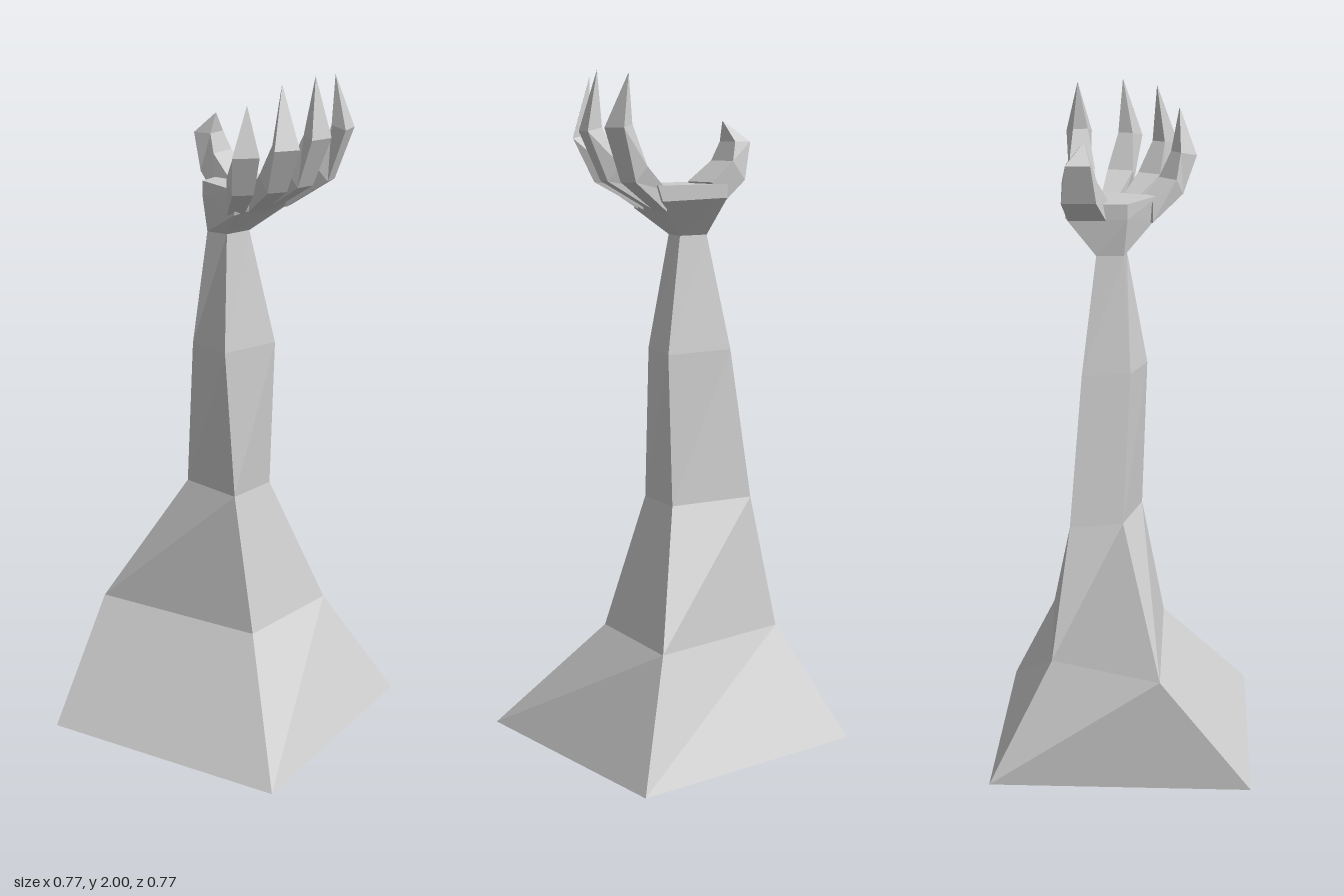
import * as THREE from 'three';

const V = (x, y, z) => new THREE.Vector3(x, y, z);

// Skin a stack of four-cornered sections, closing both ends; a single point makes a tip
function loft(name, rings, material) {
  const tris = [];
  const quad = (a, b, c, d) => tris.push([a, b, c], [a, c, d]);
  const r = rings.map((s) => (s.length === 1 ? [s[0], s[0], s[0], s[0]] : s));
  for (let i = 0; i < r.length - 1; i++) {
    for (let k = 0; k < 4; k++) {
      const n = (k + 1) % 4;
      quad(r[i][k], r[i][n], r[i + 1][n], r[i + 1][k]);
    }
  }
  const end = r[r.length - 1];
  quad(r[0][3], r[0][2], r[0][1], r[0][0]);
  quad(end[0], end[1], end[2], end[3]);

  // Turn the faces outward whichever way the sections wind
  const solid = tris.filter(([a, b, c]) => a !== b && b !== c && a !== c);
  const volume = solid.reduce((sum, [a, b, c]) => sum + a.dot(b.clone().cross(c)), 0);
  const points = solid.flatMap(([a, b, c]) => (volume < 0 ? [a, c, b] : [a, b, c]));

  const geometry = new THREE.BufferGeometry().setFromPoints(points);
  geometry.computeVertexNormals();
  const mesh = new THREE.Mesh(geometry, material);
  mesh.name = name;
  return mesh;
}

// Section at one height from four [x, z] corners
const level = (y, corners) => corners.map(([x, z]) => V(x, y, z));

// Finger curling up from the palm: base and joint are [x, z], tip is [x, y, z]
function finger(name, base, joint, tip, kneeY, jointY, material) {
  const from = V(base[0], 0, base[1]);
  const along = V(joint[0], 0, joint[1]).sub(from);
  const length = along.length();
  along.normalize();
  const side = V(-along.z, 0, along.x);
  const at = (d, y, s) => from.clone().addScaledVector(along, d).addScaledVector(side, s).setY(y);
  const section = (outD, outY, inD, inY, outW, inW) => [
    at(outD, outY, -outW / 2), at(outD, outY, outW / 2),
    at(inD, inY, inW / 2), at(inD, inY, -inW / 2),
  ];
  return loft(name, [
    section(-0.03, 1.605, -0.03, 1.665, 0.05, 0.05),
    section(length * 0.65, kneeY, length * 0.65 - 0.035, kneeY + 0.045, 0.06, 0.08),
    section(length, jointY, length - 0.048, jointY + 0.01, 0.077, 0.045),
    [V(...tip)],
  ], material);
}

export function createModel() {
  const stone = new THREE.MeshStandardMaterial({ color: 0xcccccc });
  stone.name = 'pale grey';
  const model = new THREE.Group();
  model.name = 'raisedArm';

  // Square foot narrowing into the forearm: front left, front right, back right, back left
  model.add(loft('forearm', [
    level(0, [[-0.387, 0.387], [0.387, 0.387], [0.387, -0.387], [-0.387, -0.387]]),
    level(0.34, [[-0.387, 0.117], [0.16, 0.117], [0.21, -0.238], [-0.248, -0.208]]),
    level(0.74, [[-0.145, 0], [0.055, 0.05], [0.08, -0.115], [-0.188, -0.155]]),
    level(1.19, [[-0.11, 0.02], [0.03, 0.065], [0.095, -0.115], [-0.135, -0.12]]),
    level(1.53, [[-0.07, 0], [0, 0.005], [0.025, -0.08], [-0.075, -0.08]]),
  ], stone));

  // Palm flaring from the wrist to a flat open top
  model.add(loft('palm', [
    level(1.53, [[-0.07, 0], [0, 0.005], [0.025, -0.08], [-0.075, -0.08]]),
    [V(-0.08, 1.635, 0.01), V(0.07, 1.605, 0.08), V(0.155, 1.635, -0.168), V(-0.08, 1.64, -0.168)],
    level(1.68, [[-0.08, 0.01], [0.085, 0.095], [0.174, -0.17], [-0.08, -0.17]]),
  ], stone));

  // Four fingers
  const fingers = [
    ['indexFinger', [0.16, -0.13], [0.312, -0.153], [0.262, 1.99, -0.153], 1.69, 1.84],
    ['middleFinger', [0.137, -0.045], [0.306, 0.003], [0.272, 2.0, -0.018], 1.69, 1.83],
    ['ringFinger', [0.12, 0.02], [0.262, 0.118], [0.225, 1.985, 0.085], 1.685, 1.81],
    ['littleFinger', [0.085, 0.085], [0.168, 0.18], [0.155, 1.93, 0.153], 1.68, 1.79],
  ];
  for (const spec of fingers) model.add(finger(...spec, stone));

  // Thumb curling up on the opposite edge of the palm
  const thumbSection = (outX, outY, inX, inY, back, front) => [
    V(outX, outY, back), V(outX, outY, front), V(inX, inY, front), V(inX, inY, back),
  ];
  model.add(loft('thumb', [
    thumbSection(-0.078, 1.63, -0.028, 1.685, -0.16, -0.05),
    thumbSection(-0.14, 1.69, -0.095, 1.745, -0.175, -0.075),
    thumbSection(-0.172, 1.8, -0.115, 1.8, -0.16, -0.09),
    [V(-0.108, 1.86, -0.11)],
  ], stone));

  return model;
}
